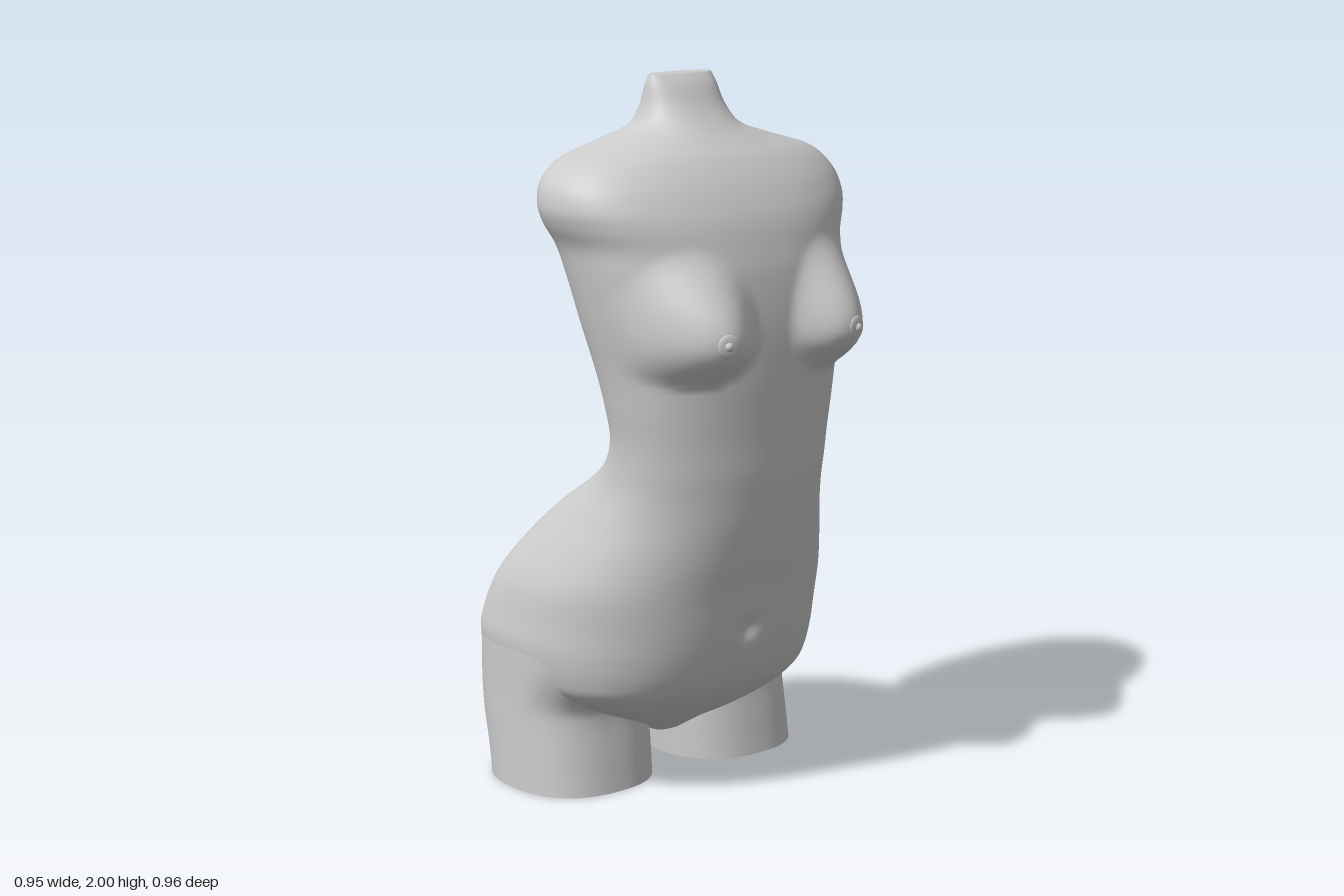
import * as THREE from 'three';

const material = new THREE.MeshStandardMaterial({ color: 0xcccccc, side: THREE.DoubleSide });

// Torso sections: height, half width, front z, back z, z of the widest point
const TORSO = [
  [0.11, 0.05, -0.05, -0.12, -0.08],
  [0.15, 0.13, 0.01, -0.16, -0.08],
  [0.20, 0.24, 0.10, -0.24, -0.08],
  [0.25, 0.35, 0.17, -0.32, -0.09],
  [0.30, 0.43, 0.22, -0.38, -0.14],
  [0.35, 0.46, 0.25, -0.44, -0.18],
  [0.42, 0.475, 0.275, -0.48, -0.21],
  [0.50, 0.467, 0.295, -0.472, -0.19],
  [0.60, 0.45, 0.315, -0.435, -0.13],
  [0.70, 0.41, 0.34, -0.37, -0.06],
  [0.80, 0.365, 0.36, -0.28, 0.02],
  [0.88, 0.337, 0.37, -0.17, 0.09],
  [0.95, 0.329, 0.377, -0.085, 0.13],
  [1.03, 0.331, 0.38, -0.05, 0.15],
  [1.12, 0.345, 0.385, -0.063, 0.15],
  [1.22, 0.362, 0.39, -0.095, 0.14],
  [1.35, 0.39, 0.39, -0.14, 0.12],
  [1.48, 0.415, 0.375, -0.175, 0.09],
  [1.56, 0.432, 0.355, -0.195, 0.06],
  [1.62, 0.463, 0.335, -0.207, 0.04],
  [1.67, 0.476, 0.31, -0.213, 0.03],
  [1.73, 0.46, 0.27, -0.213, 0.02],
  [1.785, 0.40, 0.22, -0.185, 0.01],
  [1.825, 0.27, 0.17, -0.155, 0],
  [1.86, 0.165, 0.13, -0.125, 0],
  [1.91, 0.13, 0.085, -0.09, -0.01],
  [1.97, 0.115, 0.045, -0.065, -0.015],
  [2.00, 0.104, 0.015, -0.045, -0.015],
];

// Thigh sections: height, half width, front z, back z, centre z, centre x
const THIGH = [
  [0, 0.215, 0.035, -0.41, -0.19, 0.26],
  [0.1, 0.217, 0.018, -0.43, -0.2, 0.257],
  [0.2, 0.219, 0, -0.452, -0.215, 0.255],
  [0.3, 0.222, -0.005, -0.467, -0.225, 0.251],
  [0.44, 0.222, -0.01, -0.475, -0.23, 0.251],
];

// Section the thighs grow out of, just inside the torso
const HIP = [0.44, 0.474, 0.272, -0.479, -0.21];

const step = THREE.MathUtils.smoothstep;
const mix = THREE.MathUtils.lerp;
const bell = (d, width) => Math.exp(-((d / width) ** 2));

// Smooth rows between the key sections
function refine(keys, steps) {
  const rows = [];
  const last = keys.length - 1;
  for (let k = 0; k <= last * steps; k++) {
    const i = Math.min(Math.floor(k / steps), last - 1);
    const t = k / steps - i;
    const [a, b, c, d] = [i - 1, i, i + 1, i + 2].map((j) => keys[Math.min(Math.max(j, 0), last)]);
    rows.push(b.map((v, n) => {
      const m0 = (c[n] - a[n]) / 2, m1 = (d[n] - v) / 2;
      return v + m0 * t + (3 * (c[n] - v) - 2 * m0 - m1) * t * t + (2 * (v - c[n]) + m0 + m1) * t ** 3;
    }));
  }
  return rows;
}

// Point [x, z] on a section with separate front and back roundness
function outline([, w, zf, zb, zc, cx = 0], a, front, back) {
  const c = Math.cos(a), s = Math.sin(a);
  const n = s > 0 ? front : back;
  const r = (Math.abs(c) ** n + Math.abs(s) ** n) ** (-1 / n);
  return [cx + r * c * w, zc + r * s * (s > 0 ? zf - zc : zc - zb)];
}

// Skin closed rings, with optional end caps
function loft(keys, sides, pointAt, caps) {
  const rows = refine(keys, 6);
  const pos = [], index = [];
  for (const row of rows) {
    for (let i = 0; i < sides; i++) {
      const [x, z] = pointAt(row, (i / sides) * Math.PI * 2);
      pos.push(x, row[0], z);
    }
  }
  for (let j = 0; j < rows.length - 1; j++) {
    for (let i = 0; i < sides; i++) {
      const a = j * sides + i, b = j * sides + ((i + 1) % sides);
      index.push(a, a + sides, b, b, a + sides, b + sides);
    }
  }
  if (caps) {
    const top = (rows.length - 1) * sides, centre = pos.length / 3;
    for (const row of [rows[0], rows[rows.length - 1]]) pos.push(0, row[0], (row[2] + row[3]) / 2);
    for (let i = 0; i < sides; i++) {
      const k = (i + 1) % sides;
      index.push(centre, i, k, centre + 1, top + k, top + i);
    }
  }
  const geometry = new THREE.BufferGeometry();
  geometry.setAttribute('position', new THREE.Float32BufferAttribute(pos, 3));
  geometry.setIndex(index);
  geometry.computeVertexNormals();
  return geometry;
}

// Bust relief: long soft slope above, tighter fold below
function bust(x, y) {
  const dx = (Math.abs(x) - 0.232) / (Math.abs(x) > 0.232 ? 0.2 : 0.18);
  const dy = (y - 1.33) / (y > 1.33 ? 0.25 : 0.125);
  const r = Math.hypot(dx, dy);
  if (r >= 1) return 0;
  const power = 1.6 + 0.4 * (r > 0 ? dy / r : 0);
  return 0.116 * (1 - r * r) ** power;
}

// Surface relief in z for the front and the back
function relief(x, y, s) {
  if (s > 0) {
    const navel = -0.024 * bell(x, 0.032) * bell(y - 0.49, 0.035);
    const rim = 0.008 * bell(x, 0.07) * bell(y - 0.48, 0.08);
    return bust(x, y) * Math.min(1, s * 3) + navel + rim;
  }
  const cleft = 0.076 * bell(x, 0.065) * (1 - step(y, 0.5, 0.88)) * step(y, 0.2, 0.35);
  const spine = 0.012 * bell(x, 0.08) * step(y, 0.95, 1.15) * (1 - step(y, 1.4, 1.7));
  return (cleft + spine) * -s;
}

function torsoPoint(row, a) {
  const [x, z] = outline(row, a, 2.3, 2.25 + 0.9 * (1 - step(row[0], 0.5, 1)));
  return [x, z + relief(x, row[0], Math.sin(a))];
}

// Half of the hip section, closed along the middle plane
function hipPoint(a) {
  const turn = Math.abs(a) / Math.PI, outer = 0.65;
  const [x, z] = torsoPoint(HIP, Math.sign(a) * Math.min(turn / outer, 1) * Math.PI / 2);
  return [x, mix(z, -0.1, Math.max(0, (turn - outer) / (1 - outer)))];
}

// Thigh that widens into the hip, early at the back and late at the front
function thighPoint(row, angle) {
  const a = angle > Math.PI ? angle - Math.PI * 2 : angle;
  const leg = outline(row, a, 2.4, 2.4), hip = hipPoint(a);
  const front = step(Math.sin(a), -0.3, 0.6);
  const t = step(row[0], mix(0.05, 0.22, front), 0.43);
  return [mix(leg[0], hip[0], t), mix(leg[1], hip[1], t)];
}

export function createModel() {
  const model = new THREE.Group();
  model.name = 'torso form';
  const add = (name, geometry) => {
    const mesh = new THREE.Mesh(geometry, material);
    mesh.name = name;
    model.add(mesh);
    return mesh;
  };

  add('torso', loft(TORSO, 160, torsoPoint, true));

  // Thigh stumps, open at the cut, and bust points
  const thigh = loft(THIGH, 120, thighPoint, false);
  const bead = new THREE.SphereGeometry(1, 20, 12);
  for (const side of [1, -1]) {
    const name = side > 0 ? 'left' : 'right';
    add(name + 'Thigh', thigh).scale.x = side;
    const disc = add(name + 'BustDisc', bead);
    disc.position.set(side * 0.224, 1.333, 0.464);
    disc.rotation.y = side * 0.25;
    disc.scale.set(0.032, 0.032, 0.008);
    const tip = add(name + 'BustTip', bead);
    tip.position.set(side * 0.226, 1.333, 0.467);
    tip.scale.setScalar(0.013);
  }
  return model;
}
